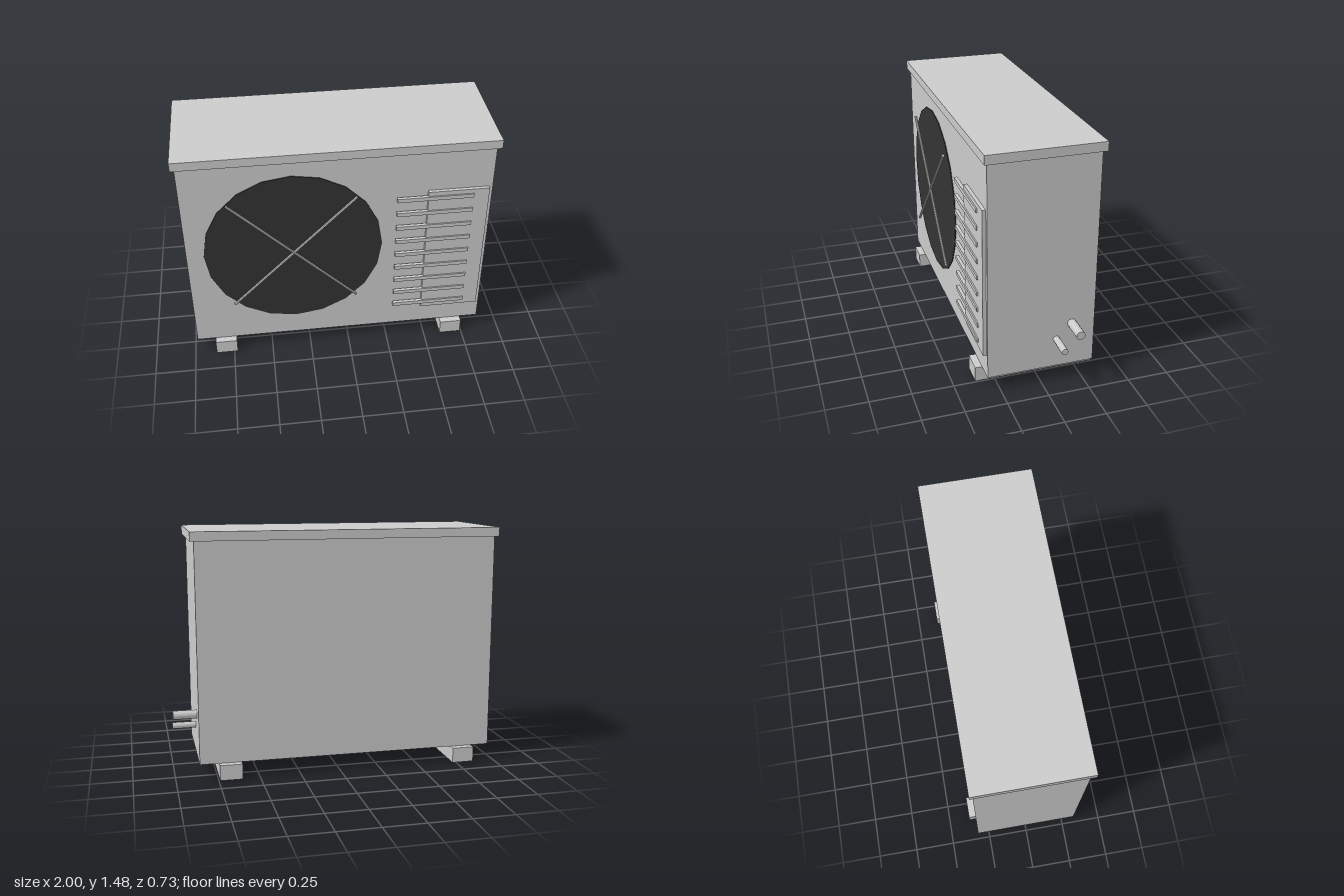
import * as THREE from 'three';

export function createModel() {
  const model = new THREE.Group();
  const grey = new THREE.MeshStandardMaterial({ color: 0xcccccc, flatShading: true });
  const dark = new THREE.MeshStandardMaterial({ color: 0x333333, flatShading: true });

  const add = (name, geometry, x, y, z, material = grey) => {
    const mesh = new THREE.Mesh(geometry, material);
    mesh.name = name;
    mesh.position.set(x, y, z);
    model.add(mesh);
    return mesh;
  };
  // Box given by its extents on each axis
  const box = (name, [x0, x1], [y0, y1], [z0, z1]) =>
    add(name, new THREE.BoxGeometry(x1 - x0, y1 - y0, z1 - z0),
      (x0 + x1) / 2, (y0 + y1) / 2, (z0 + z1) / 2);

  // Cabinet with overhanging lid
  box('cabinet', [-0.978, 0.857], [0.094, 1.422], [-0.324, 0.324]);
  box('lid', [-1, 0.881], [1.422, 1.477], [-0.344, 0.344]);

  // Two feet running front to back
  for (const x of [-0.796, 0.674]) {
    box('foot', [x - 0.068, x + 0.068], [0, 0.094], [-0.367, 0.367]);
  }

  // Dark fan opening, a thin twenty-sided disc
  const fanX = -0.335, fanY = 0.785;
  add('fanOpening', new THREE.CylinderGeometry(0.539, 0.539, 0.005, 20), fanX, fanY, 0.3265, dark)
    .rotation.x = Math.PI / 2;

  // Crossed guard bars
  for (const side of [-1, 1]) {
    add('guardBar', new THREE.CylinderGeometry(0.009, 0.009, 1.075, 8), fanX, fanY, 0.355)
      .rotation.z = side * Math.PI / 4;
  }

  // Service panel with a column of louvre slats across it
  box('servicePanel', [0.469, 0.835], [0.235, 1.15], [0.324, 0.345]);
  for (let i = 0; i < 9; i++) {
    const y = 0.28 + i * 0.1034;
    box('louvreSlat', [0.284, 0.742], [y - 0.013, y + 0.013], [0.333, 0.353]);
  }

  // Refrigerant pipes on the left side
  for (const [y, z, r] of [[0.37, -0.184, 0.027], [0.279, -0.091, 0.02]]) {
    add('pipe', new THREE.CylinderGeometry(r, r, 0.18, 12), 0.91, y, z).rotation.z = Math.PI / 2;
  }

  return model;
}
